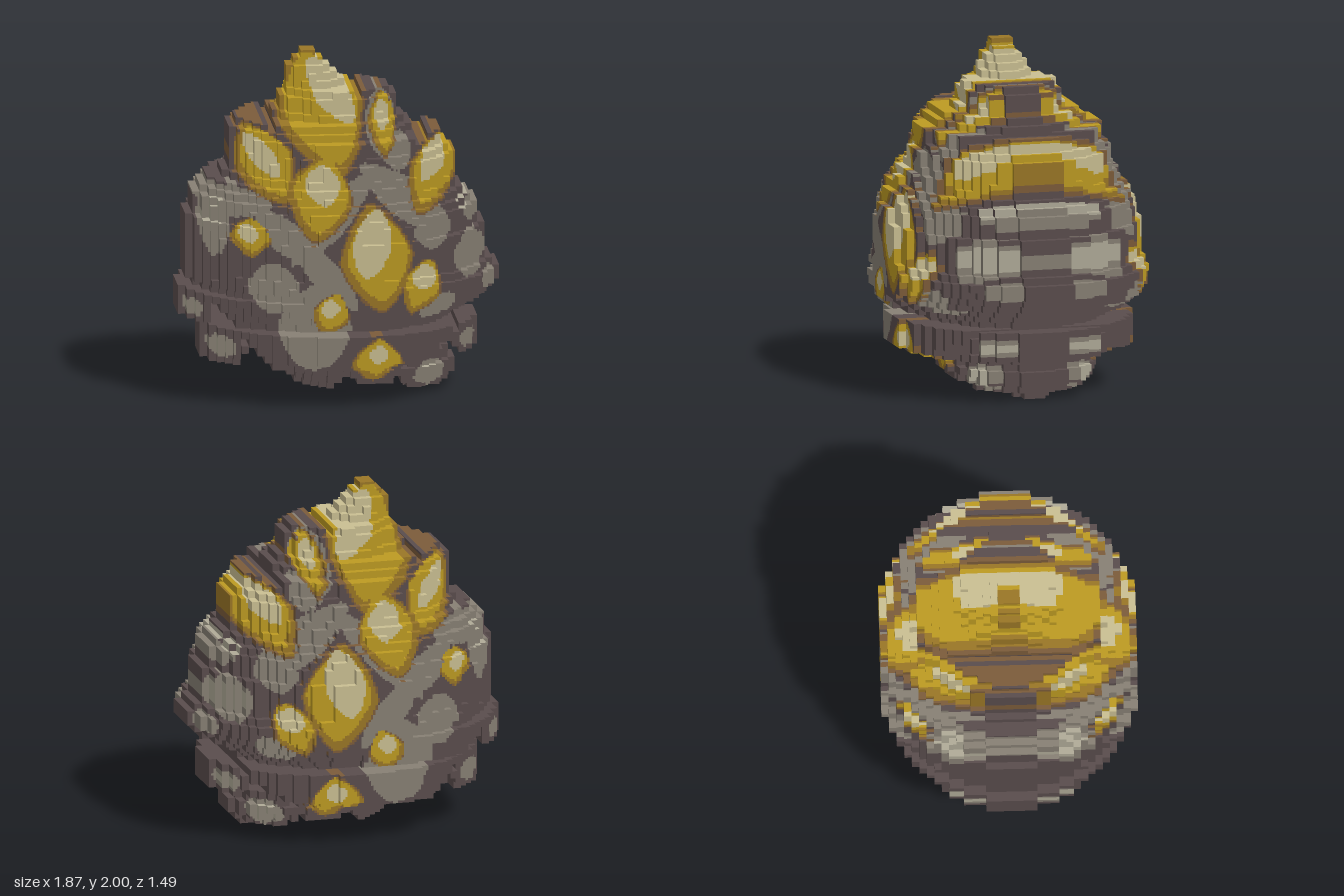
import * as THREE from 'three';

const S = 2 / 47;    // voxel size
const SUB = 3;       // colour cells per voxel edge
const DEPTH = 0.86;  // depth of each layer relative to its width

const mat = (name, color) => {
  const m = new THREE.MeshStandardMaterial({ color });
  m.name = name;
  return m;
};

// A patch is a tilted rounded diamond or oval: [x, y, rx, ry, tilt], in voxels
function inPatch([px, py, rx, ry, tilt = 0], power, x, y) {
  const c = Math.cos(tilt), s = Math.sin(tilt), dx = x - px, dy = y - py;
  return Math.abs((dx * c + dy * s) / rx) ** power + Math.abs((dy * c - dx * s) / ry) ** power < 1;
}
const resized = (list, k, up = 0) =>
  list.map(([x, y, rx, ry, tilt]) => [x + up / 2, y + up, rx * k, ry * k, tilt]);

// Silhouette of the boulder, in voxels
const outline = [
  [-5, 47], [-3, 47], [-2.2, 46], [2.8, 41], [4, 42.4], [7, 42.4], [8.5, 38], [10.5, 37], [10.5, 35.4],
  [13.5, 35.6], [15.6, 33], [15.6, 29.5], [19.2, 25.5], [20.2, 18.5], [22, 17], [22, 15], [15.4, 11],
  [15, 8.3], [8.6, 5.6], [7, 2], [2, 2], [1.2, 4], [-2, 1], [-5, 1], [-13.4, 9], [-16.5, 13],
  [-21.2, 16.5], [-21.2, 21.2], [-20.2, 27], [-17.6, 30], [-14.6, 31], [-15.4, 35.4],
  [-13.4, 38], [-10.6, 38], [-9.6, 36.3], [-7, 42], [-6.8, 45],
];
function inOutline(x, y) {
  let hit = false;
  outline.forEach(([ax, ay], i) => {
    const [bx, by] = outline[(i + 1) % outline.length];
    if ((ay > y) !== (by > y) && x < ((bx - ax) * (y - ay)) / (by - ay) + ax) hit = !hit;
  });
  return hit;
}

// Loose stones around the base
const stones = [
  [-20.2, 12.8, 2.1, 2.1],
  [-16.4, 7.5, 3, 2.7],
  [17.3, 7.8, 2, 2.1],
  [12, 3, 3.6, 3.05, 0.2],
];

// Worn grey rock: rim patches, crossing bands and blobs
const greys = [
  [-15, 28, 5, 1.9], [-17.6, 25, 2, 4.6], [-8.3, 24, 5.4, 2.2, -0.7],
  [-1.6, 26.6, 8.8, 1.9, 0.82], [8.4, 28.5, 8, 2.5, -0.65], [-3, 19, 6.5, 2.1, -0.85],
  [-10, 17, 3.4, 3.5], [-4.4, 11.4, 5, 6.3], [12, 24, 2.7, 2.4], [17.5, 20, 2.6, 3.1],
  [12.5, 13.8, 2.8, 1.9, 0.5], [7.5, 34.5, 2, 2.4], [5.5, 38, 2.3, 4.2],
  [20.2, 16, 1.2, 1.3], [18, 25.4, 1.3, 1.5],
];
// Pale polish on the stepped flanks
const pale = [[17.5, 20.2, 2.2, 1.9], [-17.6, 26, 1.2, 2.6, -0.3], [16.6, 26.6, 1, 1]];

const gems = [
  [-2.7, 39.7, 5.8, 8, 0.3],
  [-3.5, 29.1, 4.3, 5.6, -0.2],
  [-10.6, 33, 3.9, 5.2, 0.5],
  [5.7, 37.9, 2, 3.7, 0],
  [12.5, 31.2, 3.6, 5.2, -0.5],
  [4, 21, 5, 7.2, 0.1],
  [-13, 23.6, 2.6, 2.5],
  [10.2, 16.8, 2.7, 3.8, -0.4],
  [-2.3, 13.4, 2.5, 3, -0.3],
  [4.2, 6.1, 3.5, 3.5],
];
const highlights = [
  [-1.2, 42, 2.3, 4.8, 0.62],
  [-3.1, 30.7, 2.4, 2.6],
  [-11, 34, 1.6, 3.5, 0.7],
  [5.7, 38.9, 1.1, 1.9],
  [12.5, 32.8, 1.7, 2.9, -0.6],
  [3.4, 23, 2.7, 4.7, -0.2],
  [-13.3, 24.2, 1.3, 1.2],
  [10.7, 18.1, 1.8, 1.6],
  [-2.4, 14.3, 1.3, 1.3],
  [4.4, 7.4, 1.4, 1.3],
];

// Paint layers, topmost first: [part, patches, roundness, only on walls]
const layers = [
  ['gemHighlights', highlights, 1.6],
  ['gemFaces', resized(gems, 0.87, 0.4), 1.4],
  ['gemShadedFaces', gems, 1.4],
  ['gemRims', resized(gems, 1.05), 1.4],
  ['gemRims', resized(gems, 1.15), 1.4, true],
  ['paleRock', [...pale, ...resized(stones, 0.4)], 2, true],
  ['greyRock', [...greys, ...resized(stones, 0.62)], 1.6],
];
const partAt = (x, y, wall) => (layers.find(([, list, power, wallOnly]) =>
  (wall || !wallOnly) && list.some((p) => inPatch(p, power, x, y))) || ['darkRock'])[0];

export function createModel() {
  const materials = {
    darkRock: mat('dark stone', 0x5a4d4d),
    greyRock: mat('grey stone', 0x878074),
    paleRock: mat('pale stone', 0xb0ab98),
    gemFaces: mat('gold', 0xbd9b22),
    gemShadedFaces: mat('deep gold', 0x9a7626),
    gemHighlights: mat('cream', 0xcabf92),
    gemRims: mat('brown', 0x7c5c3a),
  };
  const positions = Object.fromEntries(Object.keys(materials).map((k) => [k, []]));

  // Half depth of every voxel column: each layer is an ellipse as wide as its row
  const depth = new Map();
  const key = (i, j) => i * 100 + j;
  for (let j = 0; j < 47; j++) {
    const row = [];
    for (let i = -22; i < 22; i++) {
      const x = i + 0.5, y = j + 0.5;
      if (inOutline(x, y) || stones.some((p) => inPatch(p, 2.4, x, y))) row.push(i);
    }
    const lo = row[0], hi = row[row.length - 1] + 1;
    const c = (lo + hi) / 2, r = (hi - lo) / 2;
    for (const i of row) {
      const d = DEPTH * Math.sqrt(r * r - (i + 0.5 - c) ** 2);
      depth.set(key(i, j), Math.min(17.5, Math.max(1.5, Math.floor(d) + 0.5)));
    }
  }
  const at = (i, j) => depth.get(key(i, j)) || 0;

  const quad = (part, a, b, c, d, flip) => {
    const q = flip ? [a, c, b, a, d, c] : [a, b, c, a, c, d];
    for (const p of q) positions[part].push(p[0] * S, p[1] * S, p[2] * S);
  };
  // Exposed z ranges of a wall next to a shallower column
  const strips = (d, n) => (n >= d ? [] : n ? [[n, d], [-d, -n]] : [[-d, d]]);

  for (let i = -22; i < 22; i++) for (let j = 0; j < 47; j++) {
    const d = at(i, j);
    if (!d) continue;
    for (let a = 0; a < SUB; a++) for (let b = 0; b < SUB; b++) {
      const x0 = i + a / SUB, x1 = i + (a + 1) / SUB;
      const y0 = j + b / SUB, y1 = j + (b + 1) / SUB;
      const [front, wall] = [false, true].map((w) => partAt((x0 + x1) / 2, (y0 + y1) / 2, w));
      // Front and back
      for (const z of [d, -d]) quad(front, [x0, y0, z], [x1, y0, z], [x1, y1, z], [x0, y1, z], z < 0);
      // Side, top and bottom walls
      for (const s of [-1, 1]) {
        const x = s > 0 ? x1 : x0, y = s > 0 ? y1 : y0, edge = s > 0 ? SUB - 1 : 0;
        if (a === edge) for (const [n, f] of strips(d, at(i + s, j)))
          quad(wall, [x, y0, f], [x, y0, n], [x, y1, n], [x, y1, f], s < 0);
        if (b === edge) for (const [n, f] of strips(d, at(i, j + s)))
          quad(wall, [x0, y, f], [x1, y, f], [x1, y, n], [x0, y, n], s < 0);
      }
    }
  }

  // One mesh per painted part
  const group = new THREE.Group();
  group.name = 'gemBoulder';
  for (const [name, list] of Object.entries(positions)) {
    const geo = new THREE.BufferGeometry();
    geo.setAttribute('position', new THREE.Float32BufferAttribute(list, 3));
    geo.computeVertexNormals();
    const mesh = new THREE.Mesh(geo, materials[name]);
    mesh.name = name;
    group.add(mesh);
  }
  return group;
}
